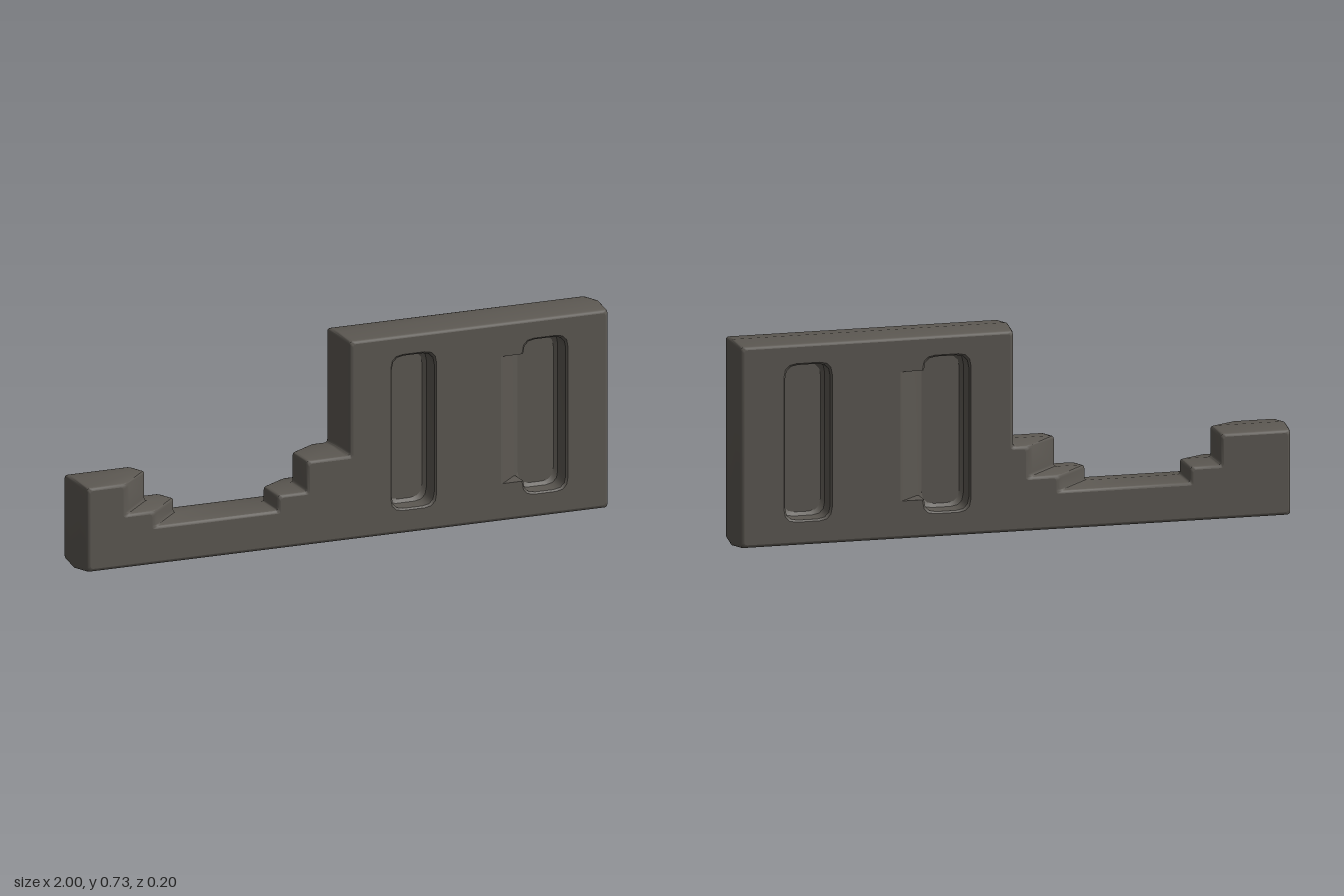
import * as THREE from 'three';
import { toCreasedNormals } from 'three/addons/utils/BufferGeometryUtils.js';

const HALF = 0.1; // half thickness of the plate

// Skin between equal-length loops of [x, y], one loop per z
function loft(sections) {
  const n = sections[0].loop.length;
  const pos = [], idx = [];
  for (const { loop, z } of sections) for (const [x, y] of loop) pos.push(x, y, z);
  for (let k = 0; k < sections.length - 1; k++) {
    for (let i = 0; i < n; i++) {
      const j = (i + 1) % n, a = k * n + i, b = k * n + j;
      idx.push(a, b, b + n, a, b + n, a + n);
    }
  }
  const g = new THREE.BufferGeometry();
  g.setAttribute('position', new THREE.Float32BufferAttribute(pos, 3));
  g.setIndex(idx);
  return toCreasedNormals(g, 0.65);
}

// Round the corners of a rectilinear loop and inset it by d
function roundLoop(pts, d, radii) {
  const n = pts.length, out = [];
  const dir = (a, b) => {
    const l = Math.hypot(b[0] - a[0], b[1] - a[1]) || 1;
    return [(b[0] - a[0]) / l, (b[1] - a[1]) / l];
  };
  pts.forEach((p, i) => {
    const u = dir(pts[(i + n - 1) % n], p), v = dir(p, pts[(i + 1) % n]);
    const c = [p[0] - (u[1] + v[1]) * d, p[1] + (u[0] + v[0]) * d];
    const r = radii(i);
    if (!r) { out.push(c); return; }
    for (let s = 0; s <= 3; s++) {
      const t = s / 3, a = (1 - t) ** 2 * r, b = t * t * r;
      out.push([c[0] - u[0] * a + v[0] * b, c[1] - u[1] * a + v[1] * b]);
    }
  });
  return out;
}

// Plate outline at depth z; the steps slant on one side of the centre plane
function bodyLoop(z, inset) {
  const l = -0.105 * Math.max(z, 0) / HALF;
  const r = 0.11 * Math.max(-z, 0) / HALF;
  return roundLoop([
    [-1, 0], [1, 0], [1, 0.73], [0, 0.73], [0, 0.32],
    [-0.165 + r, 0.32], [-0.165 + r, 0.21], [-0.275 + r, 0.21], [-0.275 + r, 0.155],
    [-0.62 + l, 0.155], [-0.62 + l, 0.21], [-0.73 + l, 0.21], [-0.73 + l, 0.32], [-1, 0.32],
  ], inset, () => 0.012);
}

// Slot outline, widened on its left by ext
function slotLoop(cx, ext, grow) {
  const l = cx - 0.08 - grow, r = cx + 0.08 + grow, b = 0.098 - grow, t = 0.645 + grow;
  const e = l - ext;
  return roundLoop([
    [l, b], [r, b], [r, t], [l, t], [l, 0.6], [e, 0.6], [e, 0.143], [l, 0.143],
  ], 0, (i) => (i < 4 ? 0.045 : 0));
}

const toVectors = (loop) => loop.map(([x, y]) => new THREE.Vector2(x, y));

export function createModel() {
  const group = new THREE.Group();
  const mat = new THREE.MeshStandardMaterial({ color: 0x5c5852 });
  mat.name = 'dark warm grey';
  const add = (parent, geometry, name) => {
    const m = new THREE.Mesh(geometry, mat);
    m.name = name;
    parent.add(m);
  };

  // Stepped edge with a slight ridge along its middle and rounded borders
  const edge = [[0, 0], [0.085, 0.008], [0.094, 0.010], [0.098, 0.014], [HALF, 0.02]];
  const profile = [...edge.slice(1).reverse().map(([z, d]) => [-z, d]), ...edge];
  add(group, loft(profile.map(([z, d]) => ({ loop: bodyLoop(z, d), z }))), 'steppedEdge');

  // Front and back faces, each with one plain and one flared slot
  for (const side of [1, -1]) {
    const face = new THREE.Group();
    face.name = side > 0 ? 'frontFace' : 'backFace';
    if (side < 0) face.rotation.y = Math.PI;
    group.add(face);

    let outline = bodyLoop(side * HALF, 0.02).map(([x, y]) => [side * x, y]);
    if (side < 0) outline = outline.reverse();
    const shape = new THREE.Shape(toVectors(outline));

    const slots = side > 0
      ? [[0.25, 0, 'plainSlot'], [0.75, 0.08, 'flaredSlot']]
      : [[-0.75, 0, 'plainSlot'], [-0.25, 0.08, 'flaredSlot']];
    for (const [cx, flare, name] of slots) {
      // Rim bevel, wall, and fillet down to the floor
      const sections = [[HALF, 0.007], [0.094, 0.001], [0.03, 0], [0.02, -0.012]].map(([z, grow]) => ({
        loop: slotLoop(cx, flare * (z - 0.02) / 0.08, grow), z,
      }));
      shape.holes.push(new THREE.Path(toVectors(sections[0].loop).reverse()));
      add(face, loft(sections), name + 'Wall');
      const floor = sections[3].loop.filter((p, i) => i < 16);
      add(face, new THREE.ShapeGeometry(new THREE.Shape(toVectors(floor))).translate(0, 0, 0.02), name + 'Floor');
    }
    add(face, new THREE.ShapeGeometry(shape).translate(0, 0, HALF), 'facePlate');
  }
  return group;
}
